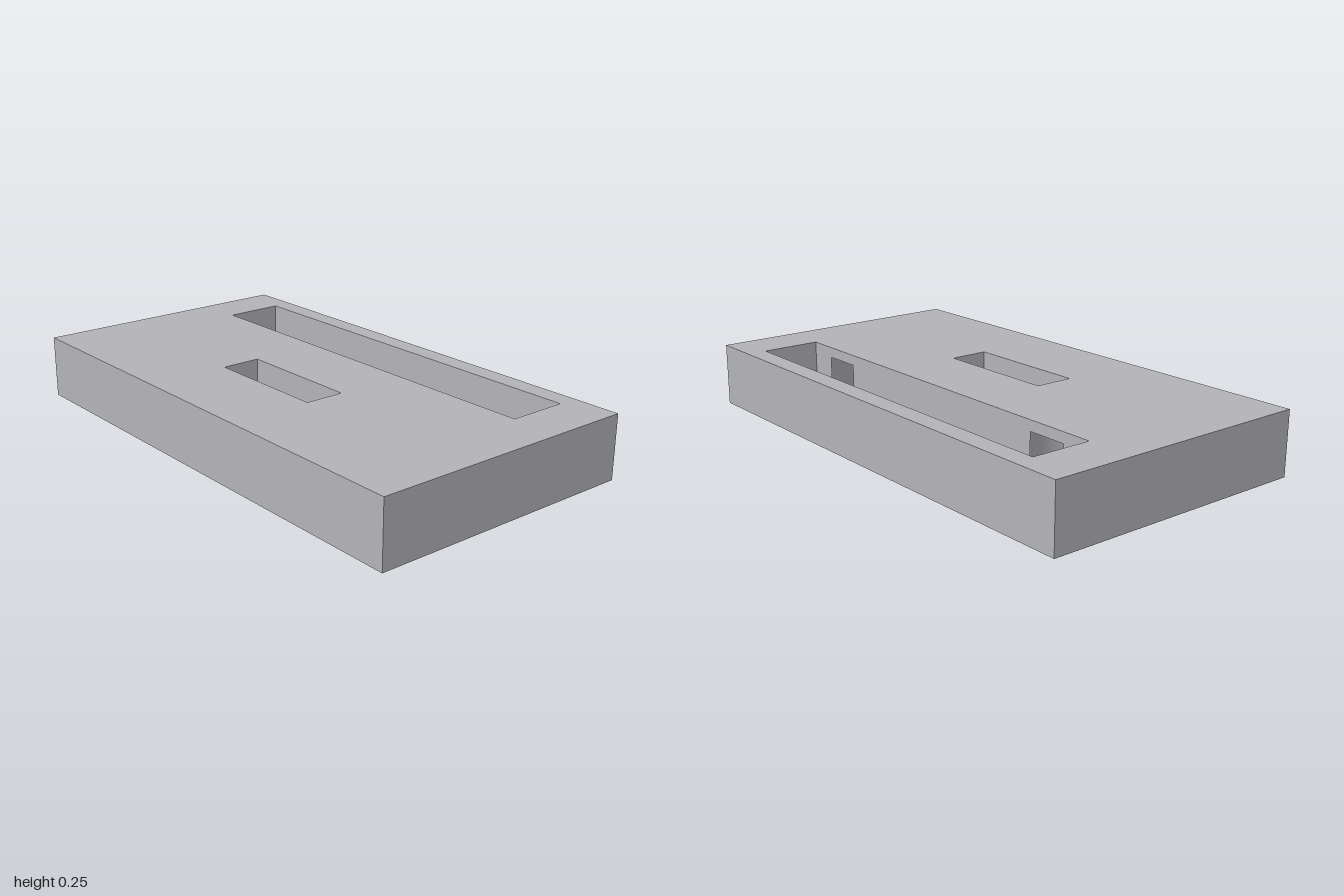
import * as THREE from 'three';

const H = 0.247, HALF_D = 0.5375;        // block height and half depth
const SLOT = { x: 0.813, z0: -0.46, z1: -0.225 };
const POCKET = { x: 0.25, z0: 0.06, z1: 0.215, depth: 0.16 };
const BORE = { x: 0.615, r: 0.239, depth: 0.206 };

// Rectangle as [x, z] corners, walked so that walls face outwards
const rect = (x, z0, z1) => [[-x, z1], [x, z1], [x, z0], [-x, z0]];
const inward = (pts) => [...pts].reverse();

// Bore outline, open where it breaks into the slot
const gap = Math.acos(-SLOT.z1 / BORE.r);
function boreArc(cx, n = 64) {
  return Array.from({ length: n + 1 }, (_, i) => {
    const t = gap + (2 * Math.PI - 2 * gap) * i / n;
    return [cx + BORE.r * Math.sin(t), -BORE.r * Math.cos(t)];
  });
}

// Horizontal face with holes, looking up or down
function face(outline, holes, y, up) {
  const flip = up ? -1 : 1;
  const to2D = (pts) => pts.map(([x, z]) => new THREE.Vector2(x, flip * z));
  const shape = new THREE.Shape(to2D(outline));
  shape.holes = holes.map((h) => new THREE.Path(to2D(h)));
  return new THREE.ShapeGeometry(shape).rotateX(flip * Math.PI / 2).translate(0, y, 0);
}

// Vertical strip along a path, smooth or with sharp corners
function wall(pts, y0, y1, smooth = false) {
  const pos = [], index = [];
  pts.forEach(([x, z], i) => {
    pos.push(x, y0, z, x, y1, z);
    if (i) {
      const a = 2 * i - 2;
      index.push(a, a + 2, a + 3, a, a + 3, a + 1);
    }
  });
  let geo = new THREE.BufferGeometry();
  geo.setAttribute('position', new THREE.Float32BufferAttribute(pos, 3));
  geo.setIndex(index);
  if (!smooth) geo = geo.toNonIndexed();
  geo.computeVertexNormals();
  return geo;
}

export function createModel() {
  const group = new THREE.Group();
  group.name = 'slottedBlock';
  const grey = new THREE.MeshStandardMaterial({ color: 0xb4b4b8 });
  grey.name = 'plain grey';
  const add = (name, geo) => {
    const mesh = new THREE.Mesh(geo, grey);
    mesh.name = name;
    group.add(mesh);
  };

  const outer = rect(1, -HALF_D, HALF_D);
  const slot = inward(rect(SLOT.x, SLOT.z0, SLOT.z1)); // back left, back right, front right, front left
  const pocket = inward(rect(POCKET.x, POCKET.z0, POCKET.z1));
  const arcs = [boreArc(BORE.x), boreArc(-BORE.x)];

  // Outer shell
  add('outerWalls', wall([...outer, outer[0]], 0, H));
  add('topFace', face(outer, [slot, pocket], H, true));
  const opening = [slot[0], slot[1], slot[2], ...arcs[0], ...arcs[1], slot[3]];
  add('bottomFace', face(outer, [opening], 0, false));

  // Long slot: three plain walls and one notched by the bores
  add('slotWalls', wall([slot[3], slot[0], slot[1], slot[2]], 0, H));
  const half = BORE.r * Math.sin(gap);
  const notched = [[-SLOT.x, H], [-SLOT.x, 0]];
  for (const cx of [-BORE.x, BORE.x]) {
    notched.push([cx - half, 0], [cx - half, BORE.depth], [cx + half, BORE.depth], [cx + half, 0]);
  }
  notched.push([SLOT.x, 0], [SLOT.x, H]);
  const notchedShape = new THREE.Shape(notched.map(([x, y]) => new THREE.Vector2(x, y)));
  add('slotNotchedWall', new THREE.ShapeGeometry(notchedShape).rotateY(Math.PI).translate(0, 0, SLOT.z1));

  // Round blind bores in the underside
  arcs.forEach((arc, i) => {
    const side = i ? 'right' : 'left';
    add(side + 'BoreWall', wall(arc, 0, BORE.depth, true));
    add(side + 'BoreCeiling', face(arc, [], BORE.depth, false));
  });

  // Small blind pocket in the top
  add('pocketWalls', wall([...pocket, pocket[0]], H - POCKET.depth, H));
  add('pocketFloor', face(pocket, [], H - POCKET.depth, true));

  return group;
}
